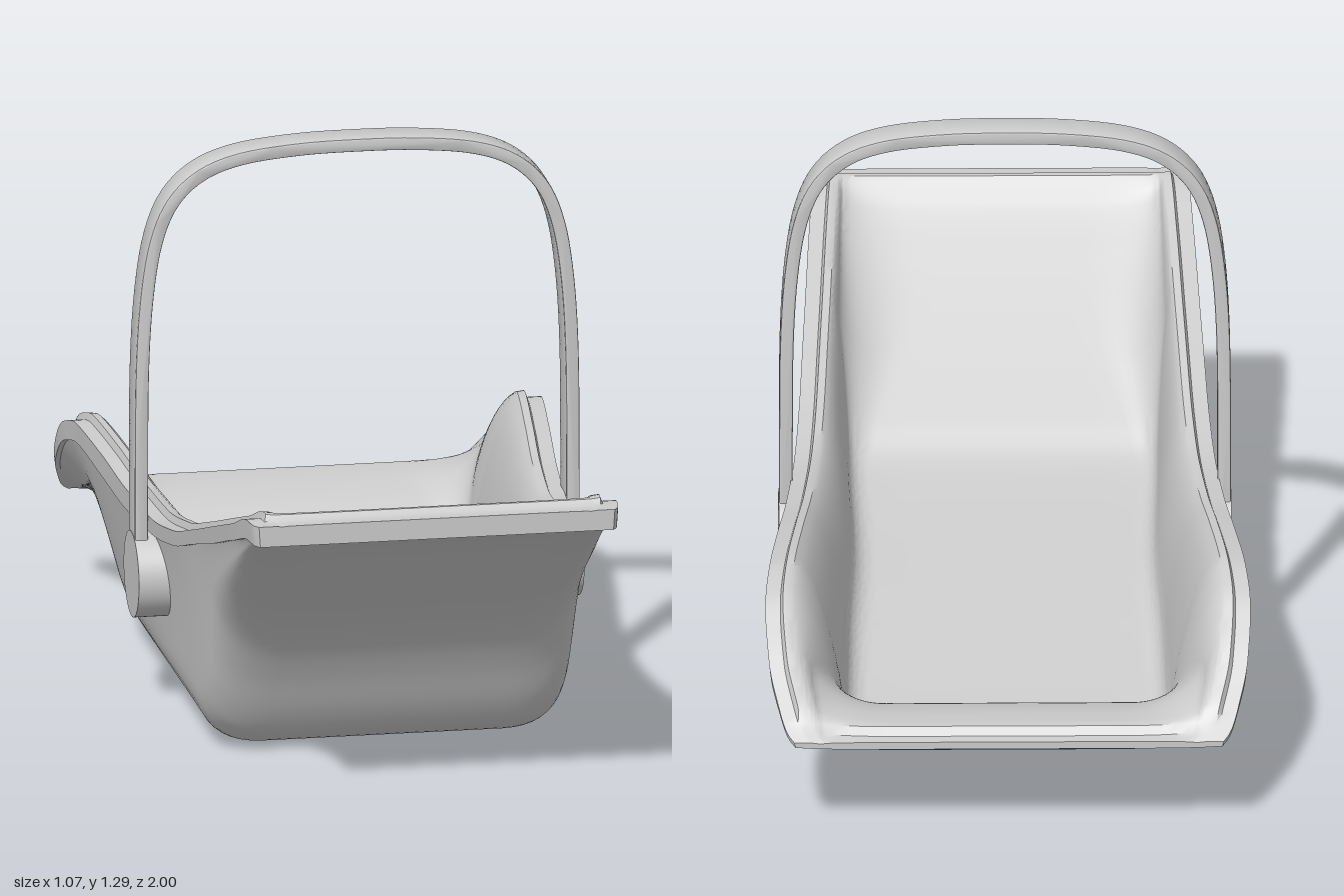
import * as THREE from 'three';
import { toCreasedNormals } from 'three/addons/utils/BufferGeometryUtils.js';

const V = (x, y) => new THREE.Vector2(x, y);
const { lerp, smoothstep } = THREE.MathUtils;

// Smooth curve through [z, value] pairs, without overshoot at peaks
function profile(p) {
  const slope = i => (p[i + 1][1] - p[i][1]) / (p[i + 1][0] - p[i][0]);
  const last = p.length - 1;
  const tangent = i => {
    if (i === 0) return slope(0);
    if (i === last) return slope(last - 1);
    const a = slope(i - 1), b = slope(i);
    return a * b <= 0 ? 0 : 2 * a * b / (a + b);
  };
  return z => {
    let i = 0;
    while (i < last - 1 && z > p[i + 1][0]) i++;
    const h = p[i + 1][0] - p[i][0], t = (z - p[i][0]) / h, t2 = t * t, t3 = t2 * t;
    return (2 * t3 - 3 * t2 + 1) * p[i][1] + (t3 - 2 * t2 + t) * h * tangent(i)
      + (3 * t2 - 2 * t3) * p[i + 1][1] + (t3 - t2) * h * tangent(i + 1);
  };
}

// Lengthwise profiles of the shell
const rimTop = profile([[-1, .25], [-.9, .335], [-.8, .42], [-.7, .485], [-.6, .508], [-.4, .495], [-.2, .472],
  [0, .465], [.2, .492], [.4, .55], [.6, .615], [.8, .68], [.95, .728], [1, .728]]);
const rimBottom = profile([[-1, .222], [-.9, .295], [-.8, .37], [-.7, .425], [-.6, .445], [-.4, .425], [-.2, .405],
  [0, .41], [.2, .44], [.4, .5], [.6, .56], [.8, .625], [.95, .665], [1, .665]]);
const rimWidth = profile([[-1, .475], [-.98, .492], [-.93, .51], [-.85, .53], [-.75, .537], [-.6, .525], [-.4, .505],
  [-.2, .485], [0, .468], [.2, .455], [.5, .44], [.95, .415], [.985, .41], [1, .4]]);
const underside = profile([[-1, .218], [-.9, .212], [-.8, .195], [-.7, .145], [-.65, .09], [-.6, .035], [-.55, .012],
  [-.48, .002], [.25, .002], [.31, .012], [.36, .045], [.4, .1], [.45, .195], [.5, .275], [.6, .385], [.7, .47],
  [.8, .555], [.9, .63], [.95, .655], [1, .665]]);
// The inside floor slopes up towards the backrest
const innerFloor = profile([[-1, .235], [-.975, .238], [-.96, .258], [-.9, .255], [-.8, .235], [-.72, .2],
  [-.65, .148], [-.61, .106], [-.59, .097], [-.55, .102], [-.1, .19], [.3, .27], [.37, .293], [.45, .347], [.6, .45],
  [.8, .595], [.9, .675], [.945, .725], [.968, .712], [1, .712]]);
const innerWidth = profile([[-1, .38], [-.8, .365], [-.6, .345], [-.3, .335], [0, .32], [.35, .332], [.6, .33],
  [.8, .335], [1, .34]]);

// Half a U section: flared wall, rounded corner, flat to the centre line
function halfU(start, corner, radius, flare) {
  const dir = start.clone().sub(corner);
  const bend = corner.clone().addScaledVector(dir, Math.min(radius / dir.length(), .6));
  const shoulder = V(lerp(start.x, bend.x, .5 + .12 * flare), lerp(start.y, bend.y, .5 - .4 * flare));
  const flat = V(corner.x - radius, corner.y);
  const pts = new THREE.QuadraticBezierCurve(start, shoulder, bend).getPoints(10);
  pts.push(...new THREE.QuadraticBezierCurve(bend, corner, flat).getPoints(10).slice(1));
  for (let i = 1; i <= 4; i++) pts.push(V(flat.x * (1 - i / 4), corner.y));
  return pts;
}

// Closed ring of the shell at z: outside from +x to -x, then inside back
function section(z) {
  const w = rimWidth(z), top = rimTop(z), low = rimBottom(z);
  const ends = smoothstep(Math.abs(z + .12), .45, .85);
  const front = smoothstep(z, -.5, .2);
  const flange = top - .016;
  const pad = lerp(top, flange, smoothstep(Math.abs(z), .945, .968));
  const outer = [V(w, flange), V(w - .003, low),
    ...halfU(V(w - .014, low), V(Math.min(.4, w - .03), underside(z)), .13 + .05 * ends, .5 * front)];
  const inner = [V(w - .033, flange), V(w - .039, pad),
    ...halfU(V(w - .056, pad - .002), V(innerWidth(z), innerFloor(z)), .04 + .1 * ends, .9)];
  const mirror = pts => pts.slice(0, -1).reverse().map(p => V(-p.x, p.y));
  return [...outer, ...mirror(outer), ...[...inner, ...mirror(inner)].reverse()];
}

function shellGeometry() {
  const stations = 160, pos = [], index = [];
  let n = 0;
  for (let i = 0; i <= stations; i++) {
    const z = -1 + 2 * i / stations, ring = section(z);
    n = ring.length;
    ring.forEach(p => pos.push(p.x, p.y, z));
  }
  for (let i = 0; i < stations; i++) for (let j = 0; j < n; j++) {
    const a = i * n + j, b = i * n + (j + 1) % n, c = a + n, d = b + n;
    index.push(a, c, b, b, c, d);
  }
  // End faces join the outside to the inside
  const e = stations * n;
  for (let j = 0; j < n / 2 - 1; j++) {
    const k = n - 1 - j;
    index.push(j, j + 1, k, j + 1, k - 1, k);
    index.push(e + j, e + k, e + j + 1, e + j + 1, e + k, e + k - 1);
  }
  const g = new THREE.BufferGeometry();
  g.setAttribute('position', new THREE.Float32BufferAttribute(pos, 3));
  g.setIndex(index);
  return toCreasedNormals(g, .6);
}

// Flat arch band, thickened evenly about its centre curve
function handleGeometry() {
  const half = [[.485, .3], [.485, .55], [.483, .78], [.473, .95], [.452, 1.08], [.414, 1.17], [.35, 1.23],
    [.26, 1.263], [.13, 1.278]];
  const pts = [...half, [0, 1.281], ...half.slice().reverse().map(([x, y]) => [-x, y])];
  const curve = new THREE.SplineCurve(pts.map(p => V(...p)));
  const outer = [], inner = [];
  for (let i = 0; i <= 90; i++) {
    const p = curve.getPoint(i / 90), t = curve.getTangent(i / 90), nrm = V(t.y, -t.x);
    outer.push(p.clone().addScaledVector(nrm, .015));
    inner.push(p.clone().addScaledVector(nrm, -.015));
  }
  const g = new THREE.ExtrudeGeometry(new THREE.Shape([...outer, ...inner.reverse()]),
    { depth: .074, bevelEnabled: true, bevelSize: .004, bevelOffset: -.004, bevelThickness: .004, bevelSegments: 2 });
  return toCreasedNormals(g.translate(0, 0, -.077), .6);
}

export function createModel() {
  const group = new THREE.Group();
  const material = new THREE.MeshStandardMaterial({ color: 0xcccccc });
  const add = (name, geometry) => {
    const mesh = new THREE.Mesh(geometry, material);
    mesh.name = name;
    group.add(mesh);
    return mesh;
  };
  add('seatShell', shellGeometry());
  add('carryHandle', handleGeometry());
  // Round handle pivots on both sides
  for (const [name, s] of [['leftPivot', 1], ['rightPivot', -1]]) {
    const pivot = add(name, new THREE.CylinderGeometry(.097, .097, .08, 48));
    pivot.rotation.z = Math.PI / 2;
    pivot.position.set(s * .461, .307, -.04);
  }
  return group;
}
